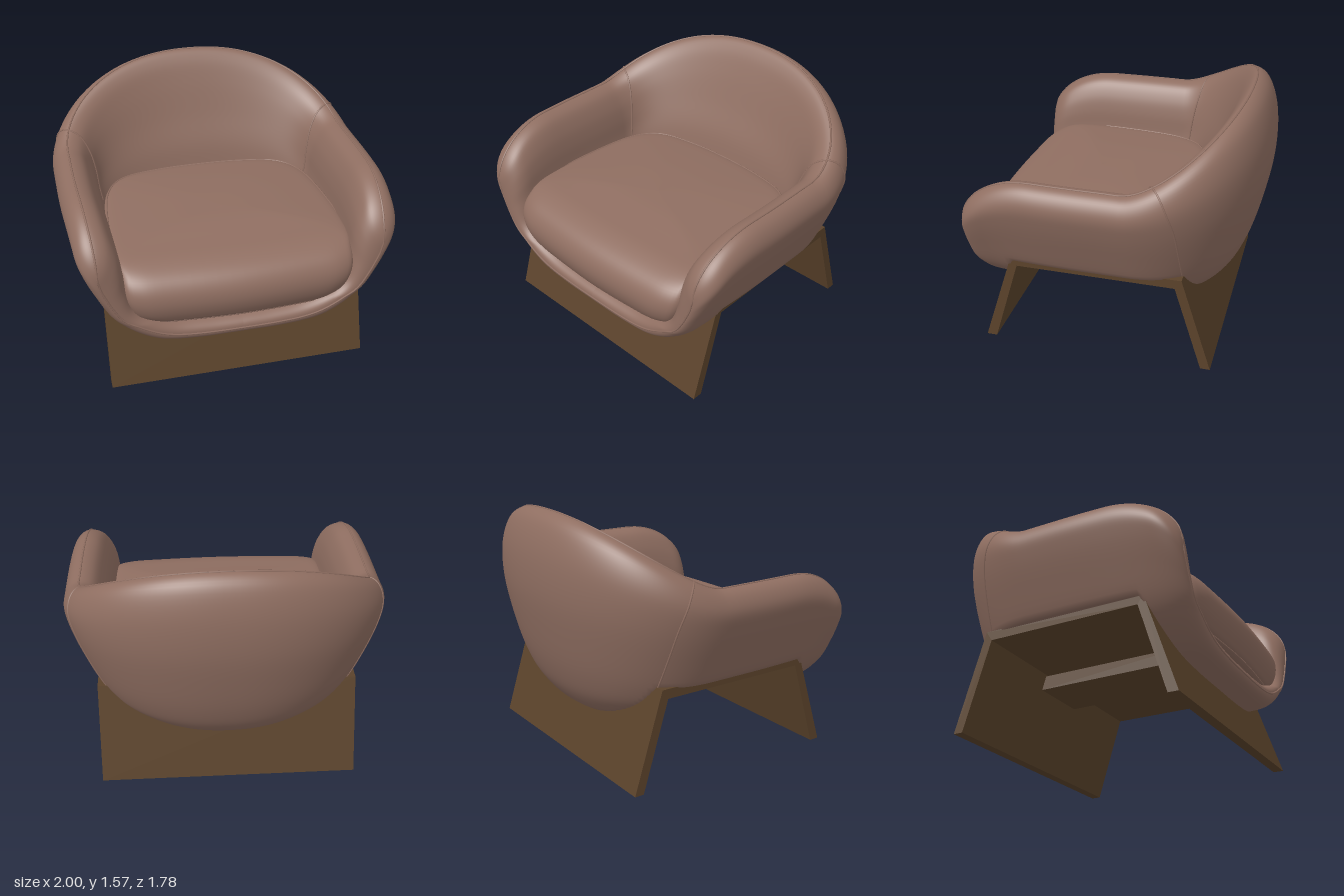
import * as THREE from 'three';

const V = (x, y, z = 0) => new THREE.Vector3(x, y, z);
const spline = (pts, closed = false) =>
  new THREE.CatmullRomCurve3(pts.map((p) => V(...p)), closed, 'catmullrom', 0.5);

// Smooth skin over a grid of points: columns i, rows j; wrap joins the last column to the first
function skin(nu, nv, fn, wrap) {
  const pos = [], idx = [];
  const cols = wrap ? nu : nu + 1;
  for (let i = 0; i < cols; i++)
    for (let j = 0; j <= nv; j++) pos.push(...fn(i / nu, j / nv).toArray());
  for (let i = 0; i < nu; i++)
    for (let j = 0; j < nv; j++) {
      const a = i * (nv + 1) + j, b = ((i + 1) % cols) * (nv + 1) + j;
      idx.push(a, b, a + 1, b, b + 1, a + 1);
    }
  const g = new THREE.BufferGeometry();
  g.setAttribute('position', new THREE.Float32BufferAttribute(pos, 3));
  g.setIndex(idx);
  g.computeVertexNormals();
  return g;
}

// Underside limit: upholstery stays above the board and outside the slanted panels
const floorAt = (z) => 0.605 - 3.1 * Math.max(0, z - 0.56, -0.465 - z);

// Shell sections (radius, height): underside centre -> outer face -> rim -> inner face -> seat centre
const armSection = spline([
  [0, 0.31], [0.3, 0.312], [0.55, 0.345], [0.73, 0.45], [0.83, 0.57], [0.92, 0.78], [0.98, 0.95],
  [1.0, 1.06], [0.965, 1.145], [0.9, 1.18], [0.82, 1.15], [0.765, 1.06], [0.735, 0.95], [0.715, 0.8],
  [0.67, 0.63], [0.57, 0.53], [0.4, 0.475], [0.2, 0.455], [0, 0.45],
]);
const backSection = spline([
  [0, 0.31], [0.25, 0.3], [0.43, 0.31], [0.55, 0.43], [0.63, 0.6], [0.69, 0.82], [0.735, 1.08],
  [0.73, 1.32], [0.675, 1.5], [0.59, 1.56], [0.525, 1.5], [0.46, 1.36], [0.38, 1.15], [0.3, 0.95],
  [0.25, 0.75], [0.2, 0.6], [0.14, 0.53], [0.07, 0.48], [0, 0.45],
]);
const BACK_Z = -0.15, FRONT_Z = 0.85;

// Arm section at depth z: top line, plan taper and rounded front end
function armPoint(z, t) {
  const p = armSection.getPoint(t);
  const q = THREE.MathUtils.clamp((z - 0.7) / (FRONT_Z - 0.7), 0, 1);
  const round = Math.pow(Math.max(0, 1 - Math.pow(q, 2.3)), 1 / 2.3);
  const mid = p.clone().add(armSection.getPoint(1 - t)).multiplyScalar(0.5);
  p.sub(mid).multiplyScalar(round).add(mid);
  const d = THREE.MathUtils.clamp((z - 0.4) / 0.45, 0, 1);
  const top = 1.18 - 0.33 * (1 - Math.sqrt(1 - d * d));
  if (p.y > 0.5) p.y = 0.5 + (p.y - 0.5) * (top - 0.5) / 0.68;
  p.x *= 1 - 0.05 * (Math.max(0, z - 0.1) / 0.75) ** 2;
  return p;
}

// Shell surface on one side: u 0..1 runs along the arm, 1..2 round to the middle of the back
function shellPoint(u, t, side = 1) {
  const out = V(0, 0, 0);
  if (u <= 1) {
    const z = BACK_Z + (FRONT_Z - BACK_Z) * Math.cos(u * Math.PI / 2);
    const p = armPoint(z, t);
    out.set(p.x, p.y, z);
  } else {
    const a = (u - 1) * Math.PI / 2;
    const c = Math.pow(Math.max(0, Math.cos(a)), 0.91), s = Math.pow(Math.sin(a), 0.91);
    const p = armPoint(BACK_Z, t), b = backSection.getPoint(t);
    out.set(p.x * c, p.y + (b.y - p.y) * Math.pow(s, 1.45), BACK_Z - b.x * s);
  }
  out.y = Math.max(out.y, floorAt(out.z) + (t > 0.5 ? 0.04 : 0));
  out.x *= side;
  return out;
}
const shellAround = (v, t) => (v <= 0.5 ? shellPoint(v * 4, t) : shellPoint((1 - v) * 4, t, -1));

// Seat cushion: plan outline, and layers of (width scale, height, front scale)
const half = [[0.4, 0.875], [0.62, 0.85], [0.71, 0.77], [0.73, 0.5], [0.715, 0.1], [0.665, -0.18],
  [0.54, -0.34], [0.29, -0.4]];
const outline = spline([
  [0, 0, 0.89], ...half.map(([x, z]) => [x, 0, z]),
  [0, 0, -0.415], ...half.slice().reverse().map(([x, z]) => [-x, 0, z]),
], true);
const layers = spline([
  [0, 0.45, 0], [0.45, 0.452, 0.6], [0.75, 0.47, 0.88], [0.9, 0.525, 0.96], [0.97, 0.62, 1],
  [1, 0.71, 0.975], [1, 0.785, 0.88], [0.985, 0.835, 0.7], [0.8, 0.856, 0.48], [0.4, 0.878, 0.22],
  [0, 0.885, 0],
]);
const CENTRE_Z = 0.24;
function cushionPoint(v, t) {
  const o = outline.getPoint(v), l = layers.getPoint(t);
  const dz = o.z - CENTRE_Z;
  const z = CENTRE_Z + dz * (dz > 0 ? l.z : l.x);
  return V(o.x * l.x, Math.max(l.y, floorAt(z) + 0.02), z);
}
// Cushion edge: high round the back and sides, dropping under the rolled front
const cushionEdge = (v) =>
  cushionPoint(v, 0.7 - 0.48 * THREE.MathUtils.smoothstep(outline.getPoint(v).z, 0.5, 0.86));

export function createModel() {
  const model = new THREE.Group();
  const fabric = new THREE.MeshStandardMaterial({ color: 0x8f6e61 });
  fabric.name = 'brown upholstery';
  const wood = new THREE.MeshStandardMaterial({ color: 0x5b432b });
  wood.name = 'dark wood';

  const add = (name, geometry, material) => {
    const mesh = new THREE.Mesh(geometry, material);
    mesh.name = name;
    model.add(mesh);
    return mesh;
  };
  const piping = (name, pts, closed) =>
    add(name, new THREE.TubeGeometry(new THREE.CatmullRomCurve3(pts, closed), pts.length * 2, 0.006, 6, closed), fabric);
  const sample = (n, fn) => Array.from({ length: n + 1 }, (_, i) => fn(i / n));

  // Upholstery
  add('shell', skin(160, 108, shellAround, false), fabric);
  add('seatCushion', skin(96, 50, cushionPoint, true), fabric);

  // Piping along the rim, down the arm fronts and across the front lip
  piping('rimPiping', [
    ...sample(60, (v) => shellAround(0.03 + 0.94 * v, 0.5)),
    ...sample(16, (v) => shellPoint(0, 0.48 * (1 - v), -1)),
    ...sample(16, (v) => shellPoint(0, 0.48 * v)).slice(1),
  ], true);
  piping('cushionPiping', sample(79, (v) => cushionEdge(v * 79 / 80)), true);

  // Seams between the arms and the back
  for (const side of [1, -1])
    piping(side > 0 ? 'leftSeam' : 'rightSeam', sample(30, (v) => {
      const t = 0.22 + 0.52 * v, d = 0.5 - t;
      return shellPoint(1.16 + 0.38 * d + 0.7 * d * d, t, side);
    }), false);

  // Base: slanted front and back panels joined by a top board
  const arch = new THREE.Shape([
    [0.78, 0], [0.58, 0.615], [-0.48, 0.615], [-0.67, 0],
    [-0.61, 0], [-0.44, 0.555], [0.545, 0.555], [0.715, 0],
  ].map(([z, y]) => new THREE.Vector2(-z, y)));
  const baseGeometry = new THREE.ExtrudeGeometry(arch, { depth: 1.62, bevelEnabled: false });
  baseGeometry.translate(0, 0, -0.81).rotateY(Math.PI / 2);
  add('basePanels', baseGeometry, wood);

  // Stretcher beam under the board
  add('stretcher', new THREE.BoxGeometry(0.4, 0.09, 1.06), wood).position.set(0, 0.5, 0.05);

  return model;
}
